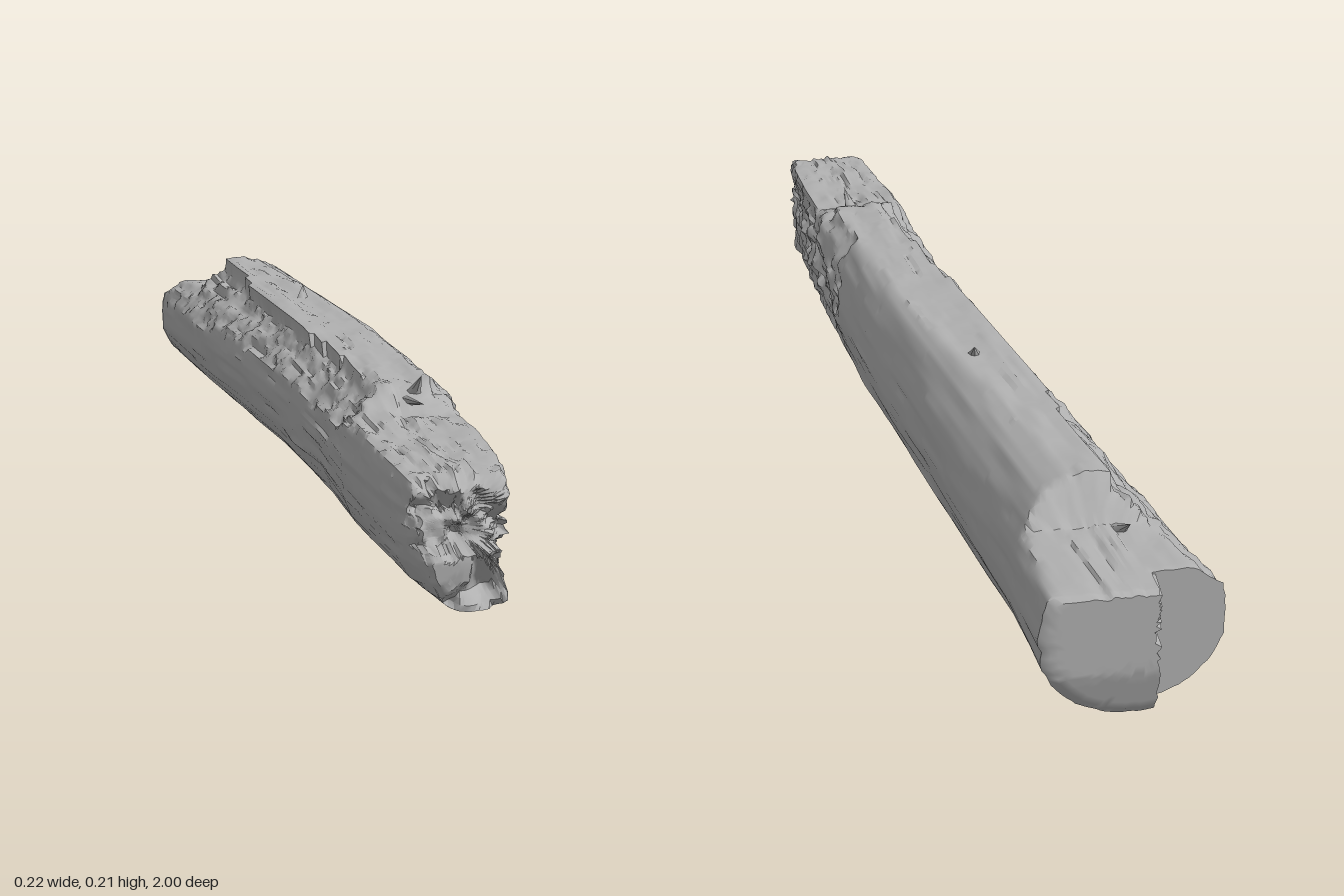
import * as THREE from 'three';
import { toCreasedNormals } from 'three/addons/utils/BufferGeometryUtils.js';

const AROUND = 96, ALONG = 190, CAP = 12;

// Smooth seeded value noise in -1..1
function hash(x, y, z) {
  const s = Math.sin(x * 127.1 + y * 311.7 + z * 74.7) * 43758.5453;
  return (s - Math.floor(s)) * 2 - 1;
}
function noise(x, y, z) {
  const c = [x, y, z].map(Math.floor);
  const f = [x - c[0], y - c[1], z - c[2]].map(t => t * t * (3 - 2 * t));
  let sum = 0;
  for (let k = 0; k < 8; k++) {
    const b = [k & 1, (k >> 1) & 1, k >> 2];
    const w = b.reduce((p, bit, i) => p * (bit ? f[i] : 1 - f[i]), 1);
    sum += w * hash(c[0] + b[0], c[1] + b[1], c[2] + b[2]);
  }
  return sum;
}

// Piecewise linear curve through [z, value] points
function curve(points) {
  return z => {
    if (z <= points[0][0]) return points[0][1];
    for (let i = 1; i < points.length; i++) {
      const [z0, v0] = points[i - 1], [z1, v1] = points[i];
      if (z <= z1) return v0 + (v1 - v0) * (z - z0) / (z1 - z0);
    }
    return points[points.length - 1][1];
  };
}

// Trunk outline along its length
const centreX = curve([[-1, 0], [0, 0.008], [0.5, -0.015], [1, -0.025]]);
const leftEdge = curve([[-1, -0.112], [-0.5, -0.1], [0, -0.082], [0.4, -0.078], [0.6, -0.088], [0.9, -0.086], [1, -0.068]]);
const rightEdge = curve([[-1, 0.11], [-0.8, 0.1], [0, 0.102], [0.3, 0.096], [1, 0.085]]);
const bottomEdge = curve([[-1, 0.006], [-0.85, 0.004], [0, 0.009], [1, 0.016]]);
// Broken surfaces: notched top and split side
const topCut = curve([[-1, 0.152], [-0.82, 0.16], [-0.78, 0.208], [-0.3, 0.202], [0.2, 0.192],
  [0.5, 0.185], [0.57, 0.162], [0.92, 0.154], [1, 0.12]]);
const sideCut = curve([[0.08, 0.12], [0.2, 0.092], [0.4, 0.08], [0.54, 0.07], [0.6, 0.058], [0.82, 0.046], [1, 0.016]]);
const shoulderCut = curve([[0.15, 0.2], [0.3, 0.168], [0.55, 0.155], [0.9, 0.138], [1, 0.12]]);
const grooveCut = curve([[-0.85, 0.166], [0.1, 0.158], [0.45, 0.154], [0.62, 0.168], [1, 0.17]]);

// Distance from the heart to the surface in direction (c, s)
function radius(z, c, s) {
  const ox = centreX(z), oy = 0.098;
  const rx = c > 0 ? rightEdge(z) - ox : ox - leftEdge(z);
  const ry = s > 0 ? 0.112 : oy - bottomEdge(z);
  let r = 1 / Math.hypot(c / rx, s / ry);
  const whole = r, edgeX = ox + c * r;
  const cut = (nx, ny, d) => {
    const facing = c * nx + s * ny;
    if (facing > 0.01) r = Math.min(r, (d - ox * nx - oy * ny) / facing);
  };
  const rough = 0.009 * noise(c * 5, s * 6, z * 16) + 0.005 * noise(c * 14, s * 16, z * 38);
  cut(0, 1, topCut(z) + rough * (z > 0.45 ? 0.4 : 0.15));
  cut(1, 0, sideCut(z) + rough);
  cut(0.72, 0.69, shoulderCut(z) + rough);
  if (edgeX < -0.035 + 0.012 * noise(3, 7, z * 5)) cut(-0.62, 0.785, grooveCut(z) + rough * 0.7);
  // Long grain and gentle swelling, calmer underneath
  const grain = 0.0025 * noise(c * 9, s * 9, z * 5) + 0.0018 * noise(c * 22, s * 22, z * 9);
  return Math.min(r, whole) + grain * (s < -0.4 ? 0.4 : 1);
}

// Surface point; scale below 1 gives the end faces
function trunkPoint(z, angle, scale) {
  const c = Math.cos(angle), s = Math.sin(angle);
  const r = radius(z, c, s) * scale;
  const x = centreX(z) + c * r, y = 0.098 + s * r;
  // Stepped saw cut at the back
  const back = x < -0.025 ? -0.95 : -1 + Math.max(0, 0.06 - y) * 0.3 + 0.006 * (scale > 0.98);
  // Jagged break at the front
  const jag = 0.03 * noise(x * 32, y * 32, 4) + 0.018 * noise(x * 75, y * 75, 9);
  const front = Math.min(1, (y < 0.08 ? 0.985 : 0.955) + jag - (scale > 0.95 ? 0.008 : 0));
  return [x, y, Math.min(Math.max(z, back), front)];
}

function trunkGeometry() {
  const rings = [];
  for (let i = 0; i < CAP; i++) rings.push([-1, i / CAP]);
  for (let i = 0; i <= ALONG; i++) rings.push([-1 + 2 * i / ALONG, 1]);
  for (let i = CAP - 1; i >= 0; i--) rings.push([1, i / CAP]);
  const positions = [], index = [];
  rings.forEach(([z, scale], i) => {
    for (let j = 0; j < AROUND; j++) {
      positions.push(...trunkPoint(z, j / AROUND * Math.PI * 2, scale));
      if (i === 0) continue;
      const k = (j + 1) % AROUND, a = (i - 1) * AROUND, b = i * AROUND;
      index.push(a + j, a + k, b + k, a + j, b + k, b + j);
    }
  });
  const geometry = new THREE.BufferGeometry();
  geometry.setAttribute('position', new THREE.Float32BufferAttribute(positions, 3));
  geometry.setIndex(index);
  geometry.computeVertexNormals();
  return toCreasedNormals(geometry, 0.75);
}

export function createModel() {
  const model = new THREE.Group();
  model.name = 'brokenLog';
  const wood = new THREE.MeshStandardMaterial({ color: 0xb0b0b0 });
  wood.name = 'grey wood';

  const trunk = new THREE.Mesh(trunkGeometry(), wood);
  trunk.name = 'trunk';
  model.add(trunk);

  // Torn splinters: base, tip, thickness
  const splinters = [
    [[0.015, 0.165, 0.5], [0.022, 0.203, 0.535], 0.014],
    [[0.05, 0.1, 0.48], [0.076, 0.125, 0.575], 0.016],
    [[0.015, 0.19, -0.29], [0.022, 0.217, -0.325], 0.012],
    [[-0.02, 0.15, -0.82], [-0.03, 0.173, -0.855], 0.012],
    [[0.0, 0.165, 0.45], [0.012, 0.178, 0.6], 0.012],
  ];
  for (const [from, to, thick] of splinters) {
    const a = new THREE.Vector3(...from), b = new THREE.Vector3(...to);
    const length = a.distanceTo(b);
    const splinter = new THREE.Mesh(new THREE.ConeGeometry(thick, length, 6), wood);
    splinter.name = 'splinter';
    splinter.position.copy(a).lerp(b, 0.5);
    splinter.quaternion.setFromUnitVectors(new THREE.Vector3(0, 1, 0), b.sub(a).normalize());
    model.add(splinter);
  }
  return model;
}
